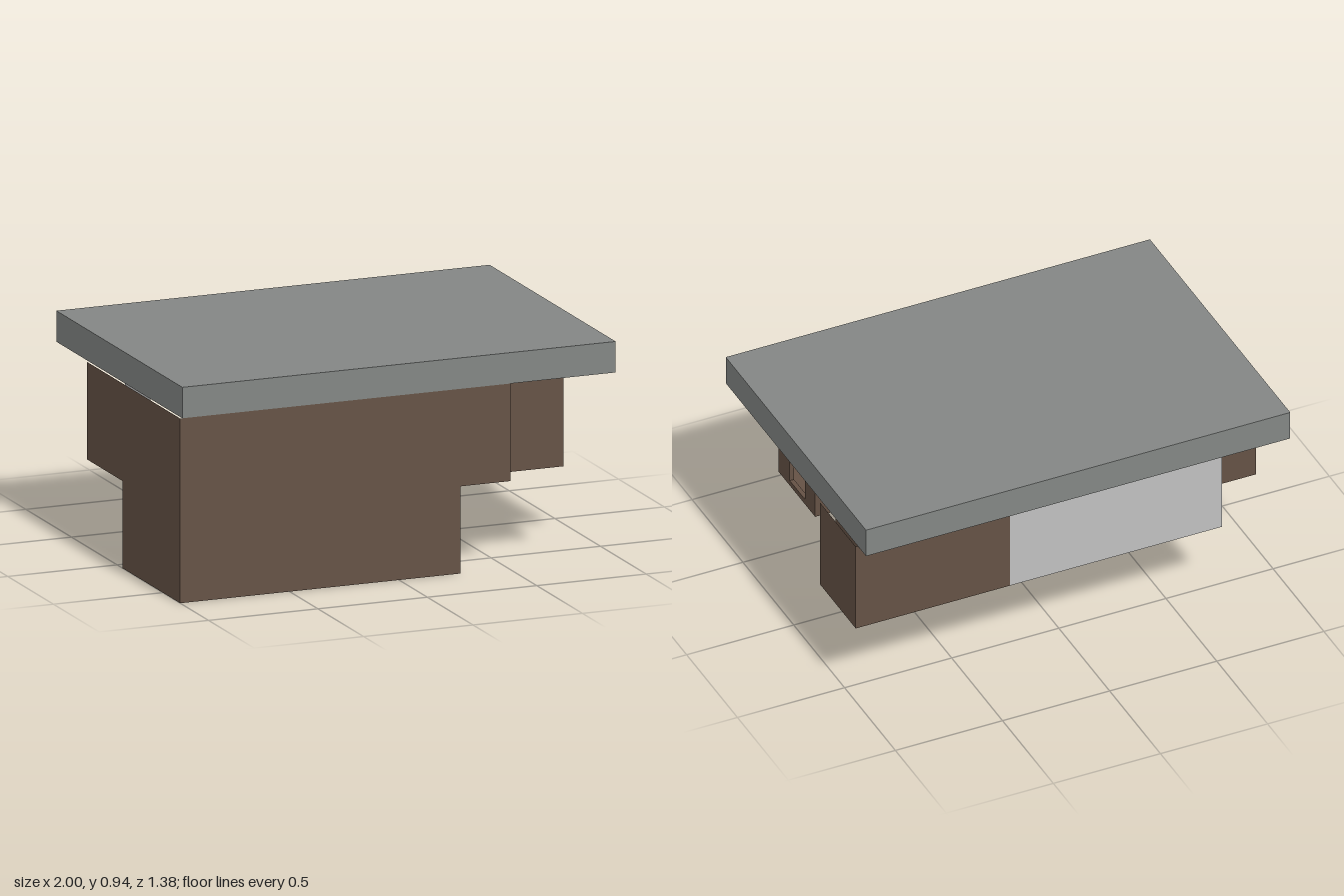
import * as THREE from 'three';

const paint = (name, color) => {
  const m = new THREE.MeshStandardMaterial({ color });
  m.name = name;
  return m;
};

export function createModel() {
  const group = new THREE.Group();
  const brown = paint('brown wall', 0x655245);
  const grey = paint('roof grey', 0x838684);
  const white = paint('off white', 0xc0c0c0);
  const teal = paint('teal', 0x255c5f);
  const blue = paint('blue', 0x606aa6);
  const dark = paint('dark trim', 0x4c4a50);

  const FLOOR = 0.38, TOP = 0.805;

  const add = (name, geometry, material) => {
    const mesh = new THREE.Mesh(geometry, material);
    mesh.name = name;
    group.add(mesh);
    return mesh;
  };
  // Box given by its limits
  const box = (name, material, [x0, x1], [y0, y1], [z0, z1]) =>
    add(name, new THREE.BoxGeometry(x1 - x0, y1 - y0, z1 - z0), material)
      .position.set((x0 + x1) / 2, (y0 + y1) / 2, (z0 + z1) / 2);
  // Upright face from a to b (x, z), facing right of the walking direction
  const wall = (name, material, a, b, geometry) => {
    const dx = b[0] - a[0], dz = b[1] - a[1];
    const mesh = add(name, geometry || new THREE.PlaneGeometry(Math.hypot(dx, dz), TOP - FLOOR), material);
    mesh.position.set((a[0] + b[0]) / 2, (FLOOR + TOP) / 2, (a[1] + b[1]) / 2);
    mesh.rotation.y = Math.atan2(-dz, dx);
    return mesh;
  };

  // Roof slab and lower storey
  box('roof', grey, [-0.99, 0.99], [TOP, 0.94], [-0.69, 0.69]);
  box('lowerStorey', [brown, brown, brown, white, brown, brown], [-1, 0.28], [0, FLOOR], [0.06, 0.69]);

  // Wall panel with window opening
  const windowPanel = new THREE.Shape();
  const h = (TOP - FLOOR) / 2, mid = (TOP + FLOOR) / 2, zMid = 0.37;
  windowPanel.moveTo(-0.18, -h).lineTo(0.18, -h).lineTo(0.18, h).lineTo(-0.18, h).closePath();
  const [u0, u1, v0, v1] = [zMid - 0.44, zMid - 0.29, 0.405 - mid, 0.725 - mid];
  windowPanel.holes.push(new THREE.Path().moveTo(u0, v0).lineTo(u0, v1).lineTo(u1, v1).lineTo(u1, v0).closePath());
  const windowGeometry = new THREE.ExtrudeGeometry(windowPanel, { depth: 0.02, bevelEnabled: false });
  windowGeometry.translate(0, 0, -0.02);

  // Upper storey outline: start x, z, then name and colour of the wall leaving it
  const outline = [
    [-1, 0.69, 'frontWall', brown],
    [0.51, 0.69, 'frontStepSide', brown],
    [0.51, 0.55, 'frontStepWall', brown],
    [0.81, 0.55, 'windowWall', brown, windowGeometry],
    [0.81, 0.19, 'porchFrontWall', brown],
    [0.51, 0.19, 'porchInnerWall', brown],
    [0.51, -0.01, 'porchBackWall', brown],
    [0.81, -0.01, 'leftWall', brown],
    [0.81, -0.26, 'tealWall', teal],
    [1, -0.26, 'leftRearWall', brown],
    [1, -0.61, 'backWall', brown],
    [0.28, -0.61, 'paleBackWall', white],
    [-0.71, -0.61, 'paleSideWall', white],
    [-0.71, -0.33, 'rearStepWall', brown],
    [-1, -0.33, 'rightWall', brown],
  ];
  outline.forEach((p, i) => wall(p[2], p[3], p, outline[(i + 1) % outline.length], p[4]));

  // Underside of the upper floor
  const floor = new THREE.ShapeGeometry(new THREE.Shape(outline.map(p => new THREE.Vector2(p[0], p[1]))));
  floor.rotateX(Math.PI / 2);
  add('floorUnderside', floor, white).position.y = FLOOR - 0.001;

  // Room behind the window
  wall('roomRearLining', white, [0.515, 0.2], [0.79, 0.2]);
  wall('roomFrontLining', white, [0.79, 0.54], [0.515, 0.54]);
  wall('roomBlueWall', blue, [0.515, 0.54], [0.515, 0.2]);
  box('roomTrim', dark, [0.516, 0.524], [FLOOR, TOP], [0.392, 0.402]);
  box('roomFloor', brown, [0.515, 0.79], [FLOOR + 0.001, FLOOR + 0.008], [0.2, 0.54]);

  // Small pale patch at the foot of the porch
  box('porchPatch', white, [0.508, 0.514], [FLOOR, 0.405], [-0.01, 0.04]);

  return group;
}
